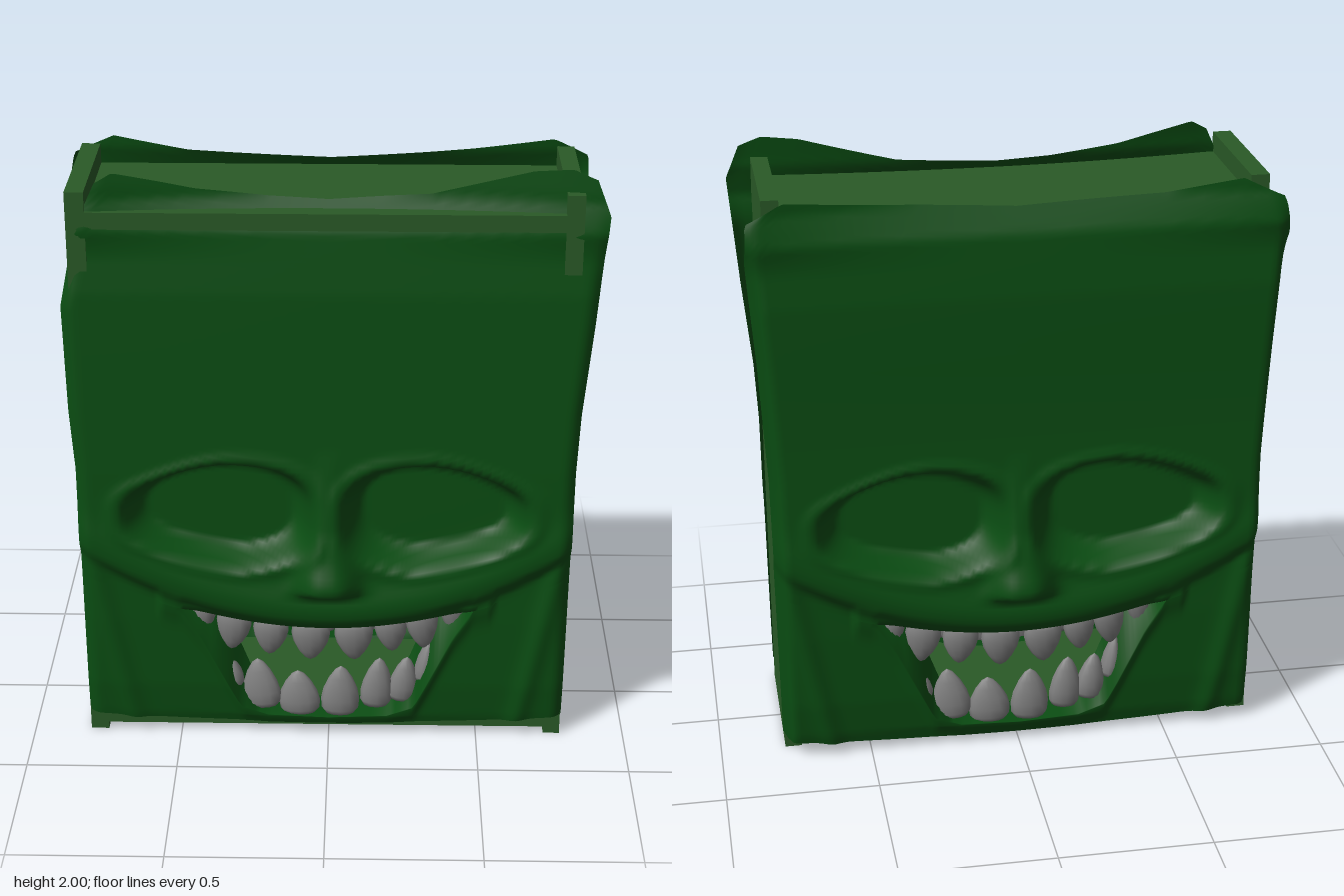
import * as THREE from 'three';

const boxMat = new THREE.MeshStandardMaterial({ color: 0x2a5a27 });
const maskMat = new THREE.MeshStandardMaterial({ color: 0x0a4c12, side: THREE.DoubleSide });
const toothMat = new THREE.MeshStandardMaterial({ color: 0x808080 });

const smooth = THREE.MathUtils.smoothstep;
const bump = (d, w) => Math.exp(-(d * d) / (w * w));

// Piecewise linear lookup through [input, output] pairs
function lookup(pts, t) {
  if (t <= pts[0][0]) return pts[0][1];
  for (let i = 1; i < pts.length; i++) {
    const [a, va] = pts[i - 1], [b, vb] = pts[i];
    if (t <= b) return va + ((vb - va) * (t - a)) / (b - a);
  }
  return pts[pts.length - 1][1];
}

// Mouth outline and lip line, as heights over x
const mouthTop = (x) => 0.43 + 0.3 * x * x;
const mouthCurve = [[0, 0.075], [0.2, 0.085], [0.29, 0.12], [0.35, 0.25], [0.42, 0.4], [0.49, 0.51]];
const mouthBottom = (x) => Math.abs(x) >= 0.485
  ? mouthTop(x) : Math.min(lookup(mouthCurve, Math.abs(x)), mouthTop(x));
const lipLine = (x) => 0.46 + 0.42 * x * x;

const centreDepth = [[0, 0.3], [0.08, 0.322], [0.2, 0.332], [0.45, 0.332], [0.7, 0.325], [1, 0.315],
  [1.4, 0.292], [1.6, 0.28], [1.8, 0.252], [1.9, 0.195], [2, 0.18]];
const noseHeight = [[0.56, 0], [0.58, 0.06], [0.6, 0.08], [0.63, 0.08], [0.7, 0.052], [0.8, 0.025], [0.95, 0.01], [1.08, 0]];
const noseWidth = [[0.56, 0.1], [0.65, 0.09], [0.75, 0.06], [0.95, 0.04]];

// Relief of the face: depth for each point of the front
function relief(x, y, opt) {
  const ax = Math.abs(x), u = ax / 0.8;
  let z = lookup(centreDepth, y) + opt.lean * smooth(y, 1, 1.9);
  z += 0.06 * u * u * smooth(y, 1.7, 1.93);
  // Eye sockets
  const ry = y > 0.84 ? 0.19 - 0.05 * smooth(ax, 0.3, 0.65) : 0.19 - 0.06 * smooth(ax, 0.25, 0.65);
  const r = Math.pow(Math.abs((ax - 0.35) / 0.31), 2.6) + Math.pow(Math.abs((y - 0.84) / ry), 2.6);
  z -= 0.1 * (1 - smooth(r, 0.45, 1.05));
  z += 0.008 * bump(r - 1.25, 0.25);
  // Nose
  z += lookup(noseHeight, y) * Math.exp(-Math.pow(ax / lookup(noseWidth, y), 3));
  // Upper lip ridge with the recessed cheeks and chin below it
  const d = y - lipLine(x);
  z += 0.022 * bump(d - 0.05, 0.07) * (1 - 0.6 * u * u);
  z -= 0.03 * (1 - smooth(d, -0.05, 0.01));
  // Cheek folds
  if (d < 0) z += 0.015 * bump(ax - (0.63 + 0.2 * y), 0.035) * smooth(-d, 0, 0.06);
  // Lips rolled around the opening
  if (ax < 0.55 && d < 0) z += 0.015 * bump(y - mouthBottom(x), 0.05);
  // Outer rim curls back, less so towards the top
  const rim = 1 - Math.min(1, (1 - u) / 0.05);
  z -= (opt.rimDrop * (1 - 0.85 * smooth(y, 1.6, 1.85))) * rim * rim;
  return z;
}

// One sheet of the mask between two height curves, with one row folded inwards at the mouth
function sheet(low, high, rows, foldAtStart, opt) {
  const cols = 112, pos = [], idx = [];
  const total = rows + 2;
  for (let j = 0; j < total; j++) {
    for (let i = 0; i <= cols; i++) {
      const u = (i / cols) * 2 - 1, x = u * 0.8;
      const row = foldAtStart ? Math.max(0, j - 1) : Math.min(rows, j);
      let y = THREE.MathUtils.lerp(low(x), high(x), row / rows);
      const side = lookup(u < 0 ? opt.left : opt.right, y);
      let z = relief(x, y, opt);
      if (j === (foldAtStart ? 0 : total - 1) && Math.abs(x) < 0.48) {
        z -= 0.11;
        y = foldAtStart ? y - 0.015 : Math.min(mouthBottom(x * 1.25) + 0.015, mouthTop(x));
      }
      pos.push(u * side, y, z);
      if (i < cols && j < total - 1) {
        const a = j * (cols + 1) + i, b = a + 1, c = a + cols + 1;
        idx.push(a, b, c + 1, a, c + 1, c);
      }
    }
  }
  const g = new THREE.BufferGeometry();
  g.setAttribute('position', new THREE.Float32BufferAttribute(pos, 3));
  g.setIndex(idx);
  g.computeVertexNormals();
  return g;
}

// Shield-shaped tooth: pointed tip at the bottom, broad root at the top
const toothProfile = [[0, -1], [0.3, -0.85], [0.62, -0.5], [0.88, -0.05], [1, 0.4], [0.95, 0.8], [0.75, 1], [0, 1]];
const toothGeo = new THREE.LatheGeometry(toothProfile.map(([r, y]) => new THREE.Vector2(r, y)), 12);

// [x, bottom, top, width]
const upperTeeth = [[-0.43, 0.345, 0.49, 0.1], [-0.32, 0.31, 0.46, 0.12], [-0.195, 0.3, 0.44, 0.12],
  [-0.06, 0.285, 0.43, 0.13], [0.085, 0.285, 0.43, 0.13], [0.21, 0.315, 0.45, 0.11],
  [0.315, 0.32, 0.47, 0.11], [0.42, 0.36, 0.51, 0.09]];
const lowerTeeth = [[-0.37, 0.24, 0.36, 0.06], [-0.325, 0.17, 0.28, 0.07], [-0.23, 0.1, 0.28, 0.13],
  [-0.1, 0.08, 0.24, 0.14], [0.04, 0.08, 0.26, 0.13], [0.165, 0.11, 0.29, 0.11],
  [0.255, 0.13, 0.29, 0.1], [0.325, 0.2, 0.35, 0.06]];

function addTeeth(group, list, name, upper) {
  for (const [x, bottom, top, width] of list) {
    const t = new THREE.Mesh(toothGeo, toothMat);
    t.name = name;
    t.position.set(x, (bottom + top) / 2, 0.275 - 0.2 * x * x);
    t.scale.set(width / 2, (top - bottom) / 2, 0.035);
    t.rotation.set(0, x * 0.6, (upper ? 0 : Math.PI) + x * (upper ? 0.35 : -0.5));
    group.add(t);
  }
}

function makeMask(name, opt) {
  const group = new THREE.Group();
  group.name = name;
  const bottom = (x) => opt.bottom + 0.05 * x * x;
  const top = (x) => lookup(opt.top, x);
  const upper = new THREE.Mesh(sheet(mouthTop, top, 84, true, opt), maskMat);
  upper.name = 'upperFace';
  const lower = new THREE.Mesh(sheet(bottom, mouthBottom, 26, false, opt), maskMat);
  lower.name = 'lowerJaw';
  group.add(upper, lower);
  addTeeth(group, upperTeeth, 'upperTooth', true);
  addTeeth(group, lowerTeeth, 'lowerTooth', false);
  return group;
}

export function createModel() {
  const model = new THREE.Group();
  model.name = 'maskedBox';

  // Open frame: two sides, a top and a bottom board
  const boards = [
    ['leftSide', 0.73, 0.785, 0, 1.93], ['rightSide', -0.81, -0.75, 0, 1.93],
    ['topBoard', -0.75, 0.73, 1.81, 1.865], ['bottomBoard', -0.75, 0.73, 0.025, 0.08],
  ];
  for (const [name, x0, x1, y0, y1] of boards) {
    const m = new THREE.Mesh(new THREE.BoxGeometry(x1 - x0, y1 - y0, 0.48), boxMat);
    m.name = name;
    m.position.set((x0 + x1) / 2, (y0 + y1) / 2, 0.03);
    model.add(m);
  }

  // Front mask, its upper edge sunk into the frame
  model.add(makeMask('frontMask', {
    rimDrop: 0.025, lean: 0, bottom: 0.045,
    top: [[-0.8, 1.95], [-0.74, 1.98], [-0.45, 1.925], [-0.2, 1.9], [0, 1.89], [0.3, 1.91], [0.62, 1.99], [0.74, 2], [0.8, 1.97]],
    left: [[0, 0.81], [1, 0.815], [1.2, 0.83], [1.55, 0.84], [1.8, 0.79], [1.95, 0.72]],
    right: [[0, 0.787], [1, 0.795], [1.2, 0.805], [1.5, 0.835], [1.86, 0.865], [2, 0.81]],
  }));

  // Back mask, facing the other way
  const back = makeMask('backMask', {
    rimDrop: 0.09, lean: 0.03, bottom: 0.025,
    top: [[-0.8, 1.88], [-0.72, 1.935], [-0.45, 1.91], [0, 1.88], [0.45, 1.9], [0.7, 1.94], [0.8, 1.88]],
    left: [[0, 0.79], [1, 0.8], [1.4, 0.82], [1.75, 0.845], [1.87, 0.84], [1.95, 0.8]],
    right: [[0, 0.81], [1, 0.82], [1.4, 0.845], [1.75, 0.87], [1.86, 0.85], [1.95, 0.81]],
  });
  back.rotation.y = Math.PI;
  model.add(back);

  return model;
}
